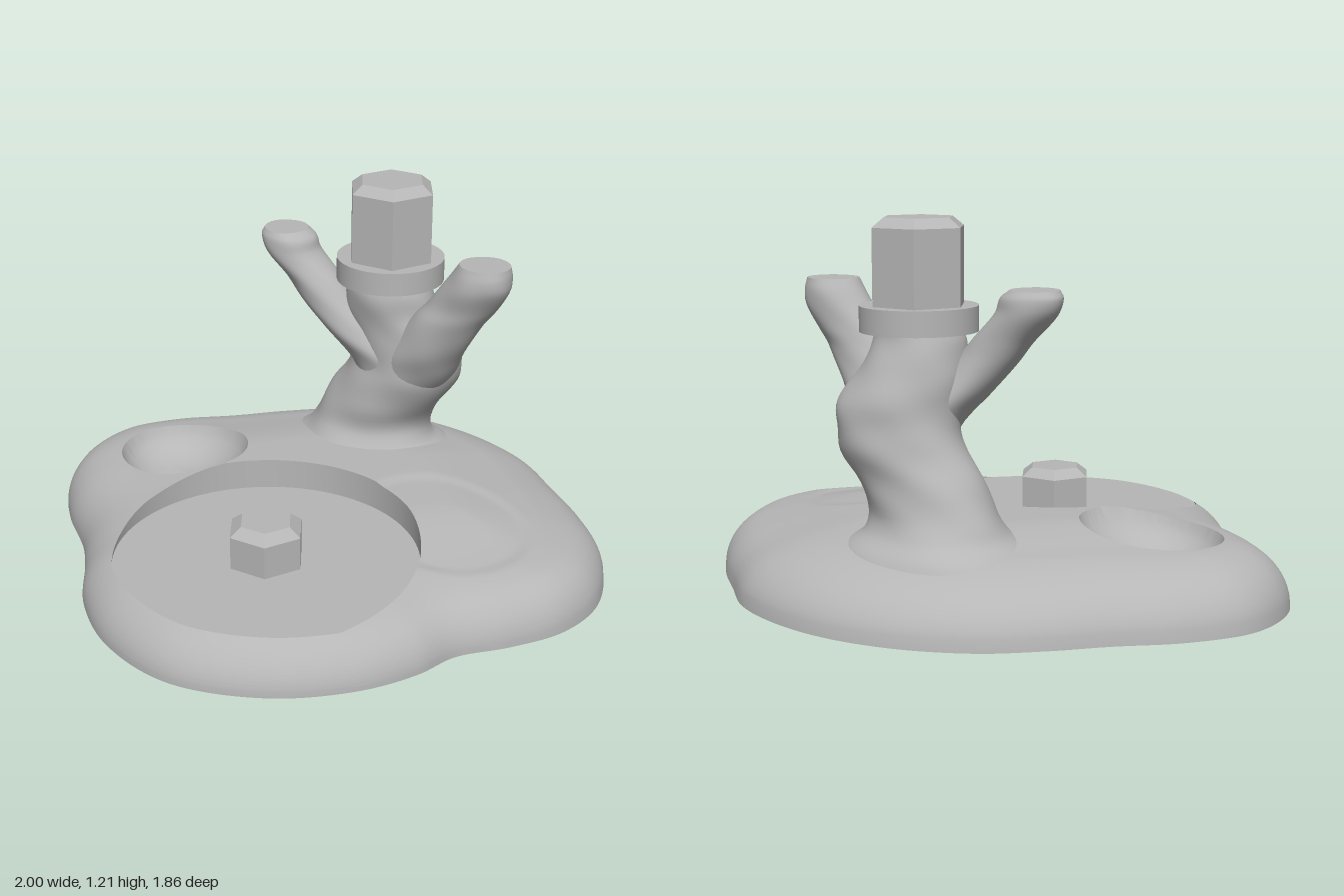
import * as THREE from 'three';
import { toCreasedNormals, mergeGeometries } from 'three/addons/utils/BufferGeometryUtils.js';

const stone = new THREE.MeshStandardMaterial({ color: 0xb6b6b6 });
stone.name = 'plain grey';

const smooth = THREE.MathUtils.smoothstep;

// Closed strip of rings: point(i, j) gives column j of ring i
function ringGrid(rings, cols, point) {
  const pos = [], idx = [];
  for (let i = 0; i < rings; i++) for (let j = 0; j < cols; j++) pos.push(...point(i, j));
  for (let i = 0; i < rings - 1; i++) {
    for (let j = 0; j < cols; j++) {
      const k = (j + 1) % cols, a = i * cols, b = a + cols;
      idx.push(a + j, a + k, b + j, a + k, b + k, b + j);
    }
  }
  const g = new THREE.BufferGeometry();
  g.setAttribute('position', new THREE.Float32BufferAttribute(pos, 3));
  g.setIndex(idx);
  g.computeVertexNormals();
  return g;
}

function add(group, name, geometry) {
  const m = new THREE.Mesh(geometry, stone);
  m.name = name;
  group.add(m);
  return m;
}

// Ground outline, as x, z pairs
const outline = new THREE.CatmullRomCurve3([
  [1, -0.14], [0.965, 0.055], [0.86, 0.215], [0.735, 0.355], [0.68, 0.5], [0.565, 0.67], [0.35, 0.84],
  [0.05, 0.925], [-0.24, 0.85], [-0.45, 0.69], [-0.56, 0.54], [-0.665, 0.41], [-0.85, 0.25], [-0.96, 0.11],
  [-1, -0.06], [-0.975, -0.23], [-0.85, -0.41], [-0.69, -0.55], [-0.56, -0.68], [-0.4, -0.81], [-0.185, -0.9],
  [0.05, -0.93], [0.27, -0.9], [0.48, -0.815], [0.645, -0.675], [0.795, -0.54], [0.93, -0.37],
].map(([x, z]) => new THREE.Vector3(x, 0, z)), true);
const COLS = 320;
const edge = outline.getSpacedPoints(COLS).slice(0, COLS);

function edgeDistance(x, z) {
  let best = Infinity;
  for (let j = 0; j < COLS; j++) {
    const a = edge[j], b = edge[(j + 1) % COLS];
    const dx = b.x - a.x, dz = b.z - a.z;
    const t = THREE.MathUtils.clamp(((x - a.x) * dx + (z - a.z) * dz) / (dx * dx + dz * dz), 0, 1);
    best = Math.min(best, Math.hypot(a.x + t * dx - x, a.z + t * dz - z));
  }
  return best;
}

// Rounded mound height above the ground
function mound(x, z) {
  const d = edgeDistance(x, z);
  const w = 0.2 + 0.1 * Math.min(1, Math.abs(z) / 0.9);
  const s = 1 - Math.min(1, d / w);
  const hollow = 1 - smooth(Math.hypot((x - 0.48) / 0.3, (z + 0.04) / 0.27), 0.85, 1.05);
  return 0.2 * Math.sqrt(Math.max(0, 1 - s * s)) + 0.055 * smooth(d, 0.12, 0.55)
    - 0.02 * smooth(x, 0.2, 0.8) * smooth(d, 0, 0.2) - 0.008 * hollow;
}

const PIT = { x: 0.05, z: 0.36, r: 0.5, y: 0.15 };
const BOWL = { x: -0.55, z: -0.048, rx: 0.235, rz: 0.205, depth: 0.14 };

function buildBase() {
  const base = new THREE.Group();
  base.name = 'base';
  // Radius of the pit floor in each column, cut short where the mound dips below it
  const cols = edge.map((p) => {
    const dx = p.x - PIT.x, dz = p.z - PIT.z, R = Math.hypot(dx, dz);
    const c = { ux: dx / R, uz: dz / R, R, floor: PIT.r };
    const height = (r) => mound(PIT.x + c.ux * r, PIT.z + c.uz * r);
    if (height(PIT.r) < PIT.y) {
      let lo = 0.2, hi = PIT.r;
      for (let k = 0; k < 16; k++) {
        const mid = (lo + hi) / 2;
        if (height(mid) < PIT.y) hi = mid; else lo = mid;
      }
      c.floor = lo;
    }
    return c;
  });
  const at = (c, r, y) => [PIT.x + c.ux * r, y, PIT.z + c.uz * r];

  // Mound surface with the round bowl pressed into it
  const surface = (c, r, snap) => {
    let [x, , z] = at(c, r, 0);
    let qx = (x - BOWL.x) / BOWL.rx, qz = (z - BOWL.z) / BOWL.rz;
    let q = Math.hypot(qx, qz);
    if (snap && Math.abs(q - 1) < 0.035) {
      x = BOWL.x + (qx / q) * BOWL.rx;
      z = BOWL.z + (qz / q) * BOWL.rz;
      q = 1;
    }
    const dip = q < 1 ? BOWL.depth * Math.pow(1 - q * q, 0.7) : 0;
    return [x, mound(x, z) - dip, z];
  };
  const RINGS = 72;
  add(base, 'mound', toCreasedNormals(ringGrid(RINGS, COLS, (i, j) => {
    const c = cols[j], t = i / (RINGS - 1);
    if (i === RINGS - 1) return at(c, c.R, 0);
    const u = 0.5 * t + 0.5 * (1 - (1 - t) ** 2.5);
    return surface(c, c.floor + (c.R - c.floor) * u, i > 0);
  }), 0.6));
  add(base, 'pitWall', ringGrid(2, COLS, (i, j) =>
    i ? surface(cols[j], cols[j].floor, false) : at(cols[j], cols[j].floor, PIT.y)));
  add(base, 'pitFloor', ringGrid(2, COLS, (i, j) => at(cols[j], cols[j].floor * i, PIT.y)));
  add(base, 'underside', ringGrid(2, COLS, (i, j) => at(cols[j], cols[j].R * (1 - i), 0)));
  return base;
}

// Loft through level sections [y, x, z, rx, rz] listed from the top down, with a flat top
function limb(sections, seed) {
  const N = 48, ROWS = 44;
  const centre = new THREE.CatmullRomCurve3(sections.map(([y, x, z]) => new THREE.Vector3(x, y, z)));
  const radius = new THREE.CatmullRomCurve3(sections.map(([y, , , rx, rz]) => new THREE.Vector3(rx, y, rz)));
  const point = (t, j, k = 1) => {
    const a = (j / N) * Math.PI * 2, c = centre.getPoint(t), r = radius.getPoint(t);
    // gentle bark-like lumps
    const lump = 1 + 0.016 * Math.sin(3 * a + 9 * c.y + seed) + 0.01 * Math.sin(5 * a - 31 * c.y + seed)
      + 0.008 * Math.sin(46 * c.y + 2 * a);
    return [c.x + Math.cos(a) * r.x * lump * k, c.y, c.z + Math.sin(a) * r.z * lump * k];
  };
  return mergeGeometries([
    ringGrid(ROWS, N, (i, j) => point(i / (ROWS - 1), j)),
    ringGrid(2, N, (i, j) => point(0, j, i)),
  ]);
}

function buildTree() {
  const tree = new THREE.Group();
  tree.name = 'tree';
  add(tree, 'trunk', limb([
    [0.88, 0.05, -0.455, 0.13, 0.13], [0.83, 0.05, -0.455, 0.15, 0.14], [0.75, 0.06, -0.475, 0.17, 0.15],
    [0.65, 0.1, -0.5, 0.2, 0.165], [0.57, 0.1, -0.505, 0.2, 0.17], [0.5, 0.08, -0.505, 0.21, 0.172],
    [0.4, 0.01, -0.5, 0.21, 0.165], [0.31, -0.035, -0.505, 0.21, 0.17], [0.25, -0.045, -0.5, 0.24, 0.2],
    [0.2, -0.04, -0.5, 0.31, 0.25], [0.12, -0.04, -0.5, 0.36, 0.29],
  ], 0));
  add(tree, 'rightBranch', limb([
    [1, -0.325, -0.385, 0.075, 0.075], [0.975, -0.315, -0.385, 0.098, 0.09], [0.93, -0.3, -0.385, 0.1, 0.092],
    [0.84, -0.215, -0.39, 0.1, 0.085], [0.78, -0.165, -0.395, 0.105, 0.085], [0.68, -0.07, -0.415, 0.11, 0.1],
    [0.56, 0.05, -0.46, 0.13, 0.12], [0.44, 0.06, -0.49, 0.13, 0.12],
  ], 1.3));
  add(tree, 'leftBranch', limb([
    [1, 0.44, -0.385, 0.085, 0.08], [0.965, 0.432, -0.385, 0.1, 0.092], [0.92, 0.415, -0.385, 0.115, 0.094],
    [0.84, 0.36, -0.39, 0.12, 0.085], [0.78, 0.31, -0.39, 0.125, 0.085], [0.64, 0.22, -0.415, 0.128, 0.1],
    [0.54, 0.16, -0.46, 0.135, 0.12], [0.42, 0.08, -0.49, 0.12, 0.12],
  ], 2.6));
  return tree;
}

// Six-sided peg with a bevelled top
function hexPeg(r, topR, y0, bevelY, y1) {
  const profile = [[0, y0], [r, y0], [r, bevelY], [topR, y1], [0, y1]].map((p) => new THREE.Vector2(...p));
  const g = new THREE.LatheGeometry(profile, 6, Math.PI / 2).toNonIndexed();
  g.computeVertexNormals();
  return g;
}

export function createModel() {
  const model = new THREE.Group();
  model.name = 'treeStumpStand';
  model.add(buildBase(), buildTree());

  add(model, 'collar', new THREE.CylinderGeometry(0.185, 0.185, 0.08, 64)).position.set(0.05, 0.9, -0.457);
  add(model, 'tallPeg', hexPeg(0.155, 0.116, 0.88, 1.18, 1.21)).position.set(0.05, 0, -0.457);
  add(model, 'shortPeg', hexPeg(0.13, 0.09, 0.14, 0.262, 0.292)).position.set(0.05, 0, 0.36);
  return model;
}
